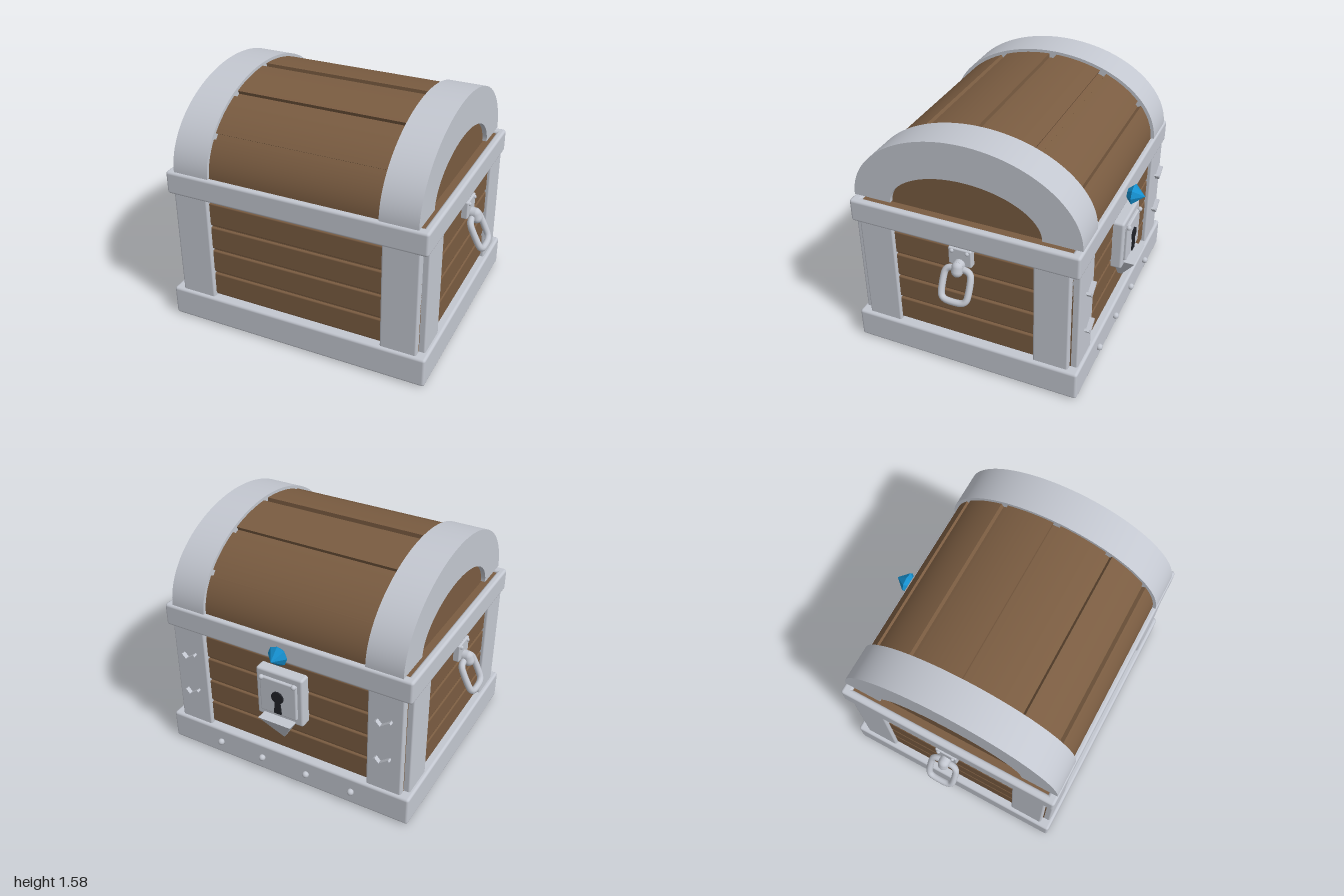
import * as THREE from 'three';
import { toCreasedNormals } from 'three/addons/utils/BufferGeometryUtils.js';
import { RoundedBoxGeometry } from 'three/addons/geometries/RoundedBoxGeometry.js';
import { ConvexGeometry } from 'three/addons/geometries/ConvexGeometry.js';

const material = (name, color, extra = {}) => {
  const m = new THREE.MeshStandardMaterial({ color, ...extra });
  m.name = name;
  return m;
};

export function createModel() {
  const steel = material('steel', 0xc3c7d0);
  const wood = material('wood', 0x7a5c41);
  const black = material('keyhole black', 0x202228);
  const blue = material('gem blue', 0x1590cf, { flatShading: true });

  // The chest is symmetric about its own centre, slightly forward of the origin
  const root = new THREE.Group();
  root.name = 'treasureChest';
  const chest = new THREE.Group();
  chest.name = 'chest';
  chest.position.z = 0.05;
  root.add(chest);

  const add = (parent, name, geo, mat, x = 0, y = 0, z = 0) => {
    const m = new THREE.Mesh(geo, mat);
    m.name = name;
    m.position.set(x, y, z);
    parent.add(m);
    return m;
  };
  // Box given by its min and max corners, with softened edges
  const block = (parent, name, mat, a, b, r = 0.012) => {
    const s = a.map((v, i) => Math.abs(b[i] - v));
    const c = a.map((v, i) => (b[i] + v) / 2);
    return add(parent, name, new RoundedBoxGeometry(...s, 2, r), mat, ...c);
  };

  // Wooden body, floor and steel base
  add(chest, 'bodyCore', new THREE.BoxGeometry(1.63, 0.95, 1.385), wood, 0, 0.575, 0);
  block(chest, 'base', steel, [-0.88, 0.005, -0.755], [0.88, 0.207, 0.755], 0.018);
  add(chest, 'floor', new THREE.BoxGeometry(1.72, 0.02, 1.47), wood, 0, 0.01, 0);

  // Wall planks
  for (let i = 0; i < 4; i++) {
    const y0 = 0.218 + i * 0.172, y1 = y0 + 0.158;
    for (const s of [-1, 1]) {
      block(chest, 'wallPlank', wood, [-0.6, y0, s * 0.66], [0.6, y1, s * 0.708], 0.01);
      block(chest, 'sidePlank', wood, [s * 0.78, y0, -0.48], [s * 0.832, y1, 0.48], 0.01);
    }
  }

  // Corner plates and top rim
  for (const s of [-1, 1]) {
    for (const t of [-1, 1]) {
      block(chest, 'wallCornerPlate', steel, [s * 0.58, 0.19, t * 0.65], [s * 0.815, 0.93, t * 0.735]);
      block(chest, 'sideCornerPlate', steel, [s * 0.77, 0.19, t * 0.458], [s * 0.855, 0.93, t * 0.685]);
    }
    block(chest, 'wallRim', steel, [-0.862, 0.912, s * 0.68], [0.862, 1.066, s * 0.742], 0.018);
    block(chest, 'sideRim', steel, [s * 0.812, 0.912, -0.735], [s * 0.862, 1.066, 0.735], 0.018);
  }

  // Arched lid: elliptical section between two angles, extruded along x
  const arch = (outer, inner, a0, a1, width) => {
    const sh = new THREE.Shape();
    sh.absellipse(0, 0, outer[0], outer[1], a0, a1, false);
    if (inner) sh.absellipse(0, 0, inner[0], inner[1], a1, a0, true);
    sh.closePath();
    const g = new THREE.ExtrudeGeometry(sh, { depth: width, bevelEnabled: false, curveSegments: inner && a1 - a0 < 1 ? 10 : 48 });
    g.translate(0, 0, -width / 2).rotateY(Math.PI / 2);
    return toCreasedNormals(g, 0.5);
  };
  add(chest, 'lidCore', arch([0.69, 0.465], null, 0, Math.PI, 1.54), wood, 0, 1.062, 0);
  const step = Math.PI / 6, gap = 0.035;
  for (let i = 0; i < 6; i++) {
    const a0 = i * step + (i ? gap : 0), a1 = (i + 1) * step - (i < 5 ? gap : 0);
    add(chest, 'lidPlank', arch([0.713, 0.487], [0.67, 0.445], a0, a1, 1.2), wood, 0, 1.068, 0);
  }
  for (const s of [-1, 1]) {
    add(chest, 'lidStrap', arch([0.735, 0.503], [0.49, 0.263], 0, Math.PI, 0.24), steel, s * 0.68, 1.072, 0);
  }

  // Side handles
  const ring = new THREE.CatmullRomCurve3([
    [0.05, 0.1], [0.085, 0.065], [0.085, -0.065], [0.05, -0.1],
    [-0.05, -0.1], [-0.085, -0.065], [-0.085, 0.065], [-0.05, 0.1],
  ].map(([z, y]) => new THREE.Vector3(0, y, z)), true, 'catmullrom', 0.4);
  for (const s of [-1, 1]) {
    const handle = new THREE.Group();
    handle.name = s > 0 ? 'leftHandle' : 'rightHandle';
    chest.add(handle);
    block(handle, 'handlePlate', steel, [s * 0.82, 0.8, -0.075], [s * 0.872, 0.918, 0.075], 0.008);
    for (const z of [-0.05, 0.05]) add(handle, 'handleBolt', new THREE.SphereGeometry(0.013, 12, 8), steel, s * 0.872, 0.9, z);
    const peg = add(handle, 'handlePeg', new THREE.CylinderGeometry(0.036, 0.036, 0.06, 16), steel, s * 0.875, 0.815, 0);
    peg.rotation.z = Math.PI / 2;
    const knuckle = add(handle, 'handleKnuckle', new THREE.CapsuleGeometry(0.036, 0.03, 6, 16), steel, s * 0.905, 0.8, 0);
    knuckle.rotation.z = s * 0.3;
    const loop = add(handle, 'handleRing', new THREE.TubeGeometry(ring, 64, 0.021, 10, true), steel, s * 0.934, 0.7, 0);
    loop.rotation.z = s * 0.46;
  }

  // Lock on the back wall
  const lock = new THREE.Group();
  lock.name = 'lock';
  root.add(lock);
  block(lock, 'lockPlate', steel, [-0.165, 0.5, -0.64], [0.165, 0.85, -0.728], 0.016);
  block(lock, 'lockFace', steel, [-0.13, 0.55, -0.7], [0.13, 0.805, -0.746], 0.01);
  for (const x of [-0.115, 0.115]) {
    add(lock, 'lockBolt', new THREE.SphereGeometry(0.017, 12, 8), steel, x, 0.8, -0.745);
  }
  const hole = new THREE.Shape();
  hole.absarc(0, 0.685, 0.042, -1.1, Math.PI + 1.1, false);
  hole.lineTo(-0.026, 0.565);
  hole.lineTo(0.026, 0.565);
  add(lock, 'keyhole', new THREE.ExtrudeGeometry(hole, { depth: 0.009, bevelEnabled: false, curveSegments: 20 }), black, 0, 0, -0.755);
  // Inverted pyramid below the lock
  add(lock, 'lockPoint', new ConvexGeometry([
    [-0.115, 0.525, -0.66], [0.115, 0.525, -0.66], [-0.115, 0.525, -0.8],
    [0.115, 0.525, -0.8], [0, 0.335, -0.69], [0, 0.335, -0.66],
  ].map((p) => new THREE.Vector3(...p))), steel);

  // Faceted gem above the lock, its axis along z
  const gem = new THREE.LatheGeometry(
    [[0, 0], [0.03, 0], [0.068, 0.04], [0, 0.115]].map((p) => new THREE.Vector2(...p)), 8);
  add(root, 'gem', gem, blue, 0, 0.98, -0.688).rotation.x = -Math.PI / 2;

  // Check-shaped studs on the back corner plates
  const check = new THREE.Shape([
    [-0.055, 0.03], [0.018, -0.027], [0.055, 0.015], [0.042, 0.025], [0.015, -0.005], [-0.047, 0.043],
  ].map((p) => new THREE.Vector2(...p)));
  const checkGeo = new THREE.ExtrudeGeometry(check, { depth: 0.03, bevelEnabled: false });
  for (const x of [-0.695, 0.695]) {
    for (const y of [0.44, 0.72]) add(root, 'cornerStud', checkGeo, steel, x, y, -0.723);
  }

  // Rivets along the back of the base
  for (const x of [-0.49, -0.165, 0.165, 0.49]) {
    add(root, 'baseRivet', new THREE.SphereGeometry(0.022, 16, 10), steel, x, 0.11, -0.716);
  }
  return root;
}
